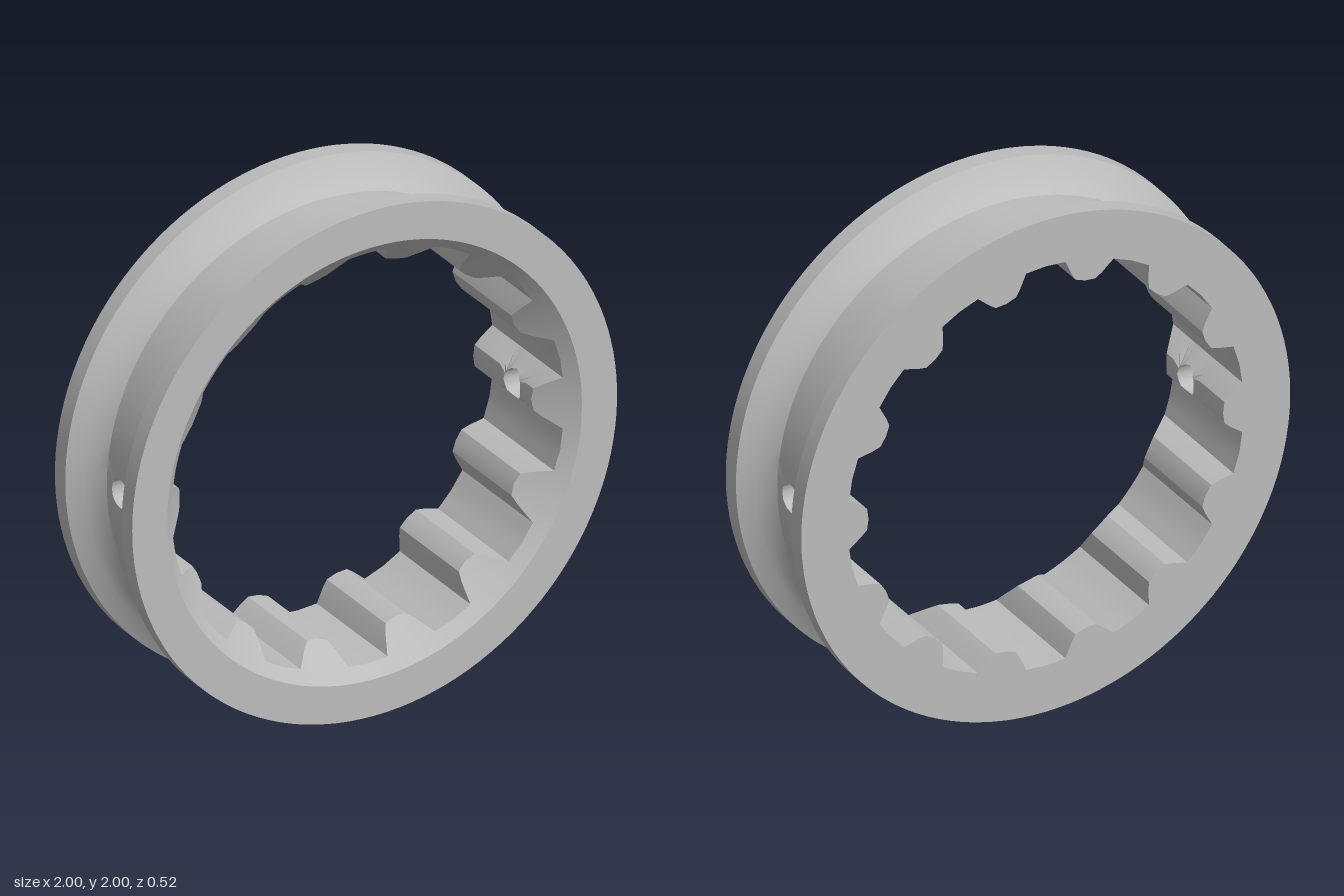
import * as THREE from 'three';
import { toCreasedNormals } from 'three/addons/utils/BufferGeometryUtils.js';

const TEETH = 14, PITCH = (Math.PI * 2) / TEETH;
const FRONT = 0.26, BORE = 0.855, GROOVE = 0.89, GROOVE_Z = 0.09, HOLE = 0.056;

// One tooth and the gap after it: angle offset, inner radius
const TOOTH = [
  [-0.125, 0.81], [-0.085, 0.757], [-0.058, 0.732], [0, 0.725], [0.058, 0.732],
  [0.085, 0.757], [0.125, 0.81], [0.175, 0.81], [PITCH / 2, 0.812], [PITCH - 0.175, 0.81],
];
const TOOTH_SPANS = 6; // spans that belong to the tooth itself

// Outer groove, front to back: z, radius
const half = [[FRONT, 1], [0.19, 1], [0.155, 0.943], [0.12, 0.908], [GROOVE_Z, GROOVE]];
const OUTER = [...half, ...half.map(([z, r]) => [-z, r]).reverse()];

const at = (angle, r, z) => [r * Math.cos(angle), 1 + r * Math.sin(angle), z];

// Closed cross-section; the front of each tooth is cut by a 45 degree chamfer
function section(r) {
  return [...OUTER, [-FRONT, r], [-GROOVE_Z, r], [GROOVE_Z, r], [FRONT - (BORE - r), r], [FRONT, BORE]];
}

// Inner radius at an offset from a tooth's centre
function innerRadius(offset) {
  for (let i = 0; i < TOOTH_SPANS; i++) {
    const [a, ra] = TOOTH[i], [b, rb] = TOOTH[i + 1];
    if (offset <= b) return ra + ((rb - ra) * (offset - a)) / (b - a);
  }
  return 0.81;
}

function ringGeometry() {
  const pos = [];
  const quad = (a, b, c, d) => pos.push(...a, ...b, ...c, ...a, ...c, ...d);

  // Ring body, leaving openings around the two drilled teeth
  const columns = [];
  for (let t = 0; t < TEETH; t++) {
    for (const [offset, r] of TOOTH) {
      columns.push(section(r).map(([z, rad]) => at(t * PITCH + offset, rad, z)));
    }
  }
  const rows = columns[0].length, outerGap = 4, innerGap = 11;
  columns.forEach((col, i) => {
    const next = columns[(i + 1) % columns.length];
    const tooth = Math.floor(i / TOOTH.length);
    const drilled = tooth % (TEETH / 2) === 0 && i % TOOTH.length < TOOTH_SPANS;
    for (let j = 0; j < rows; j++) {
      if (drilled && (j === outerGap || j === innerGap)) continue;
      const k = (j + 1) % rows;
      quad(col[j], col[k], next[k], next[j]);
    }
  });

  // Border of an opening as angle offset and z, counterclockwise
  const offsets = TOOTH.slice(0, TOOTH_SPANS + 1).map(([o]) => o);
  const edge = offsets[TOOTH_SPANS];
  const heights = [-0.045, 0, 0.045];
  const border = [
    ...offsets.map((o) => [o, -GROOVE_Z]),
    ...heights.map((z) => [edge, z]),
    ...offsets.map((o) => [-o, GROOVE_Z]),
    ...heights.map((z) => [-edge, -z]),
  ];

  // Round radial holes through the opposite teeth
  for (const centre of [0, Math.PI]) {
    const loops = border.map(([o, z]) => {
      const turn = Math.atan2(z / GROOVE_Z, o / edge);
      const y = HOLE * Math.cos(turn), hz = HOLE * Math.sin(turn);
      const outO = Math.asin(y / GROOVE), inO = Math.asin(y / 0.735);
      return [
        at(centre + o, GROOVE, z),
        at(centre + outO, GROOVE, hz),
        at(centre + inO, innerRadius(inO), hz),
        at(centre + o, innerRadius(o), z),
      ];
    });
    loops.forEach((a, k) => {
      const b = loops[(k + 1) % loops.length];
      for (let s = 0; s < 3; s++) quad(a[s], b[s], b[s + 1], a[s + 1]);
    });
  }

  const geometry = new THREE.BufferGeometry();
  geometry.setAttribute('position', new THREE.Float32BufferAttribute(pos, 3));
  return toCreasedNormals(geometry, 0.5);
}

export function createModel() {
  const group = new THREE.Group();
  group.name = 'toothedRing';
  const metal = new THREE.MeshStandardMaterial({ color: 0xbcbcbc });
  metal.name = 'light grey';
  const ring = new THREE.Mesh(ringGeometry(), metal);
  ring.name = 'groovedRing';
  group.add(ring);
  return group;
}
